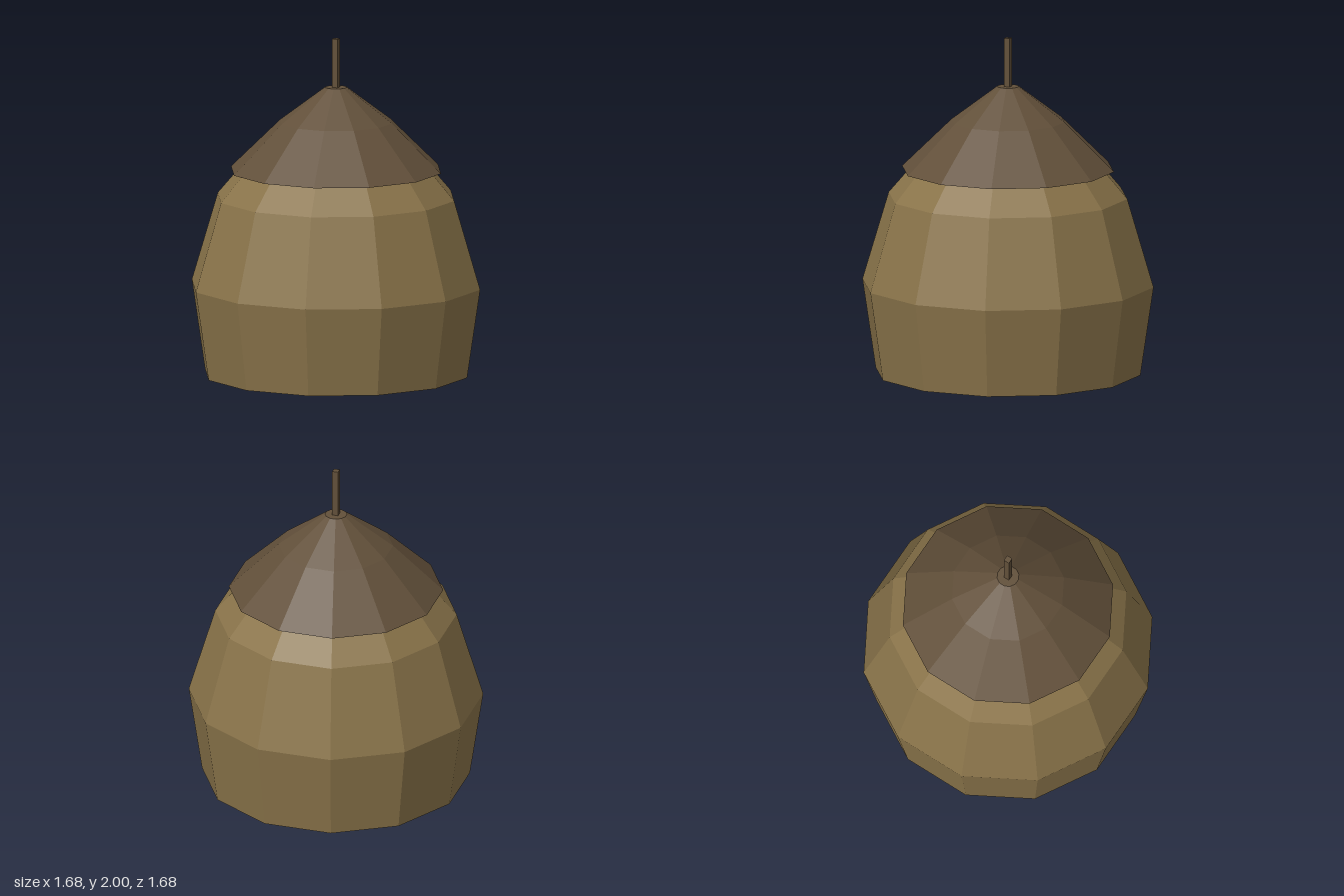
import * as THREE from 'three';

const SIDES = 12;

// Faceted solid of revolution; profile is [apothem, y] from bottom to top, flats face the axes
function facetedLathe(profile) {
  const k = 1 / Math.cos(Math.PI / SIDES);
  const points = profile.map(([r, y]) => new THREE.Vector2(r * k, y));
  const geometry = new THREE.LatheGeometry(points, SIDES).toNonIndexed();
  geometry.rotateY(Math.PI / SIDES);
  geometry.computeVertexNormals();
  return geometry;
}

export function createModel() {
  const straw = new THREE.MeshStandardMaterial({ color: 0x8a744a });
  straw.name = 'straw';
  const darkWood = new THREE.MeshStandardMaterial({ color: 0x62503a });
  darkWood.name = 'dark wood';

  const group = new THREE.Group();
  const add = (name, geometry, material) => {
    const mesh = new THREE.Mesh(geometry, material);
    mesh.name = name;
    group.add(mesh);
    return mesh;
  };

  // Bulging body, closed under the roof
  add('body', facetedLathe([
    [0, 0], [0.762, 0], [0.838, 0.53], [0.687, 1.055], [0.535, 1.24], [0, 1.24],
  ]), straw);

  // Overhanging conical roof with a flat tip
  add('roof', facetedLathe([
    [0, 1.215], [0.61, 1.215], [0.325, 1.505], [0.063, 1.71], [0, 1.71],
  ]), darkWood);

  // Square pole on the tip
  add('pole', new THREE.BoxGeometry(0.036, 0.32, 0.036), darkWood).position.y = 1.84;

  return group;
}
